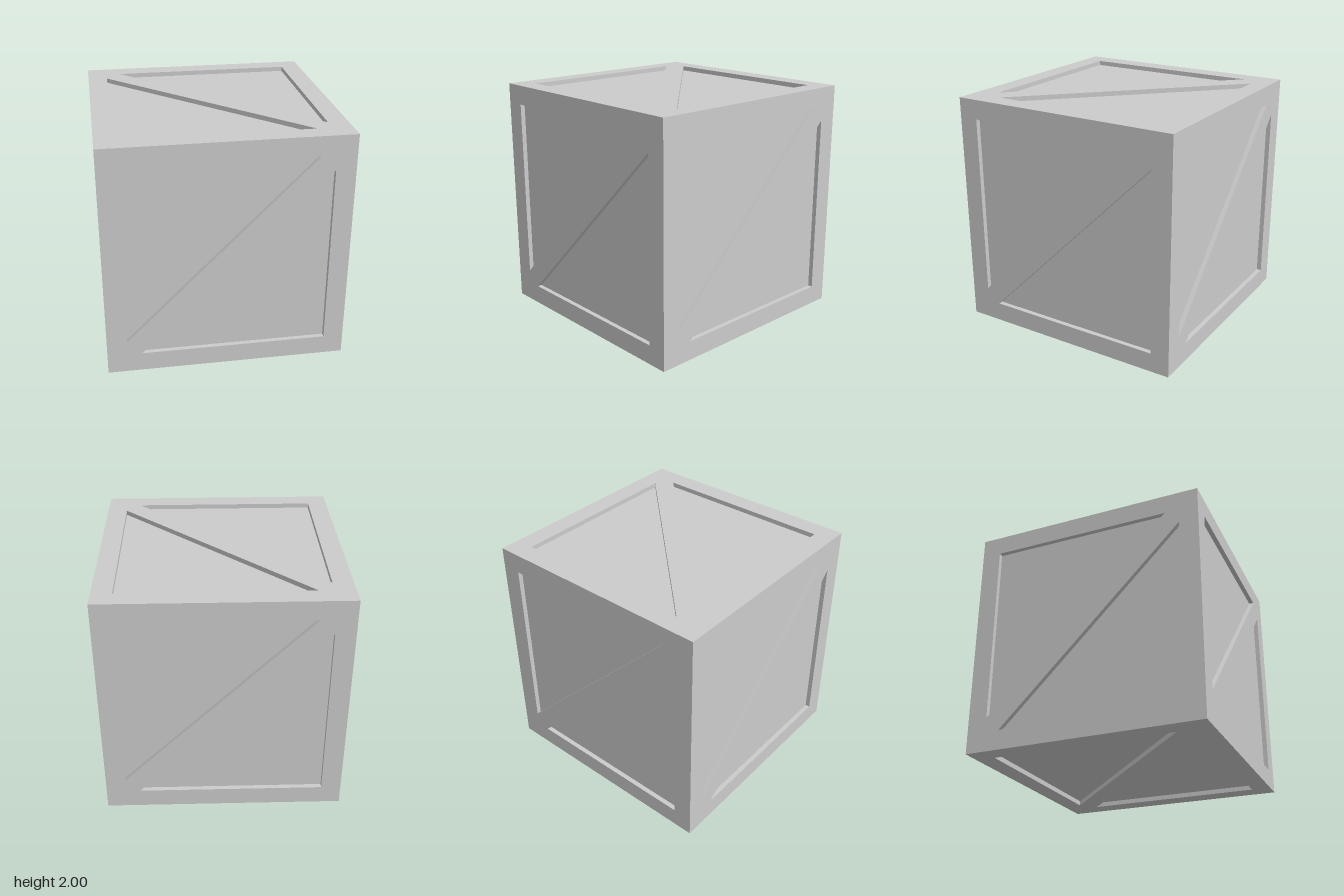
import * as THREE from 'three';

const HALF = 1, EDGE = 0.835, TIP = 0.715, DEPTH = 0.04;
const material = new THREE.MeshStandardMaterial({ color: 0xcccccc, flatShading: true });

// The two triangular recesses beside the diagonal brace, counter-clockwise
const upper = [[-EDGE, EDGE], [-EDGE, -TIP], [TIP, EDGE]].map(([x, y]) => new THREE.Vector2(x, y));
const lower = upper.map((p) => p.clone().negate());
const recesses = [upper, lower];

// Side walls of a recess, facing inward
function wallGeometry(outline) {
  const positions = [];
  outline.forEach((a, i) => {
    const b = outline[(i + 1) % outline.length];
    const z0 = HALF, z1 = HALF - DEPTH;
    positions.push(a.x, a.y, z0, b.x, b.y, z0, b.x, b.y, z1);
    positions.push(a.x, a.y, z0, b.x, b.y, z1, a.x, a.y, z1);
  });
  const geometry = new THREE.BufferGeometry();
  geometry.setAttribute('position', new THREE.Float32BufferAttribute(positions, 3));
  geometry.computeVertexNormals();
  return geometry;
}

function addMesh(group, geometry, name) {
  const mesh = new THREE.Mesh(geometry, material);
  mesh.name = name;
  group.add(mesh);
}

// One side of the crate, facing +z: border with brace, recess walls and sunken panels
function createSide(name) {
  const side = new THREE.Group();
  side.name = name;
  const square = new THREE.Shape([[-1, -1], [1, -1], [1, 1], [-1, 1]]
    .map(([x, y]) => new THREE.Vector2(x * HALF, y * HALF)));
  square.holes = recesses.map((outline) => new THREE.Path(outline));
  addMesh(side, new THREE.ShapeGeometry(square).translate(0, 0, HALF), 'frameAndBrace');
  for (const outline of recesses) {
    addMesh(side, wallGeometry(outline), 'recessWalls');
    const panel = new THREE.ShapeGeometry(new THREE.Shape(outline));
    addMesh(side, panel.translate(0, 0, HALF - DEPTH), 'sunkenPanel');
  }
  return side;
}

export function createModel() {
  const crate = new THREE.Group();
  crate.name = 'crate';
  const q = Math.PI / 2;
  // Name, tilt about x, turn about the face's own axis, turn about y
  const sides = [
    ['frontSide', 0, 0, 0], ['leftSide', 0, 0, q], ['backSide', 0, 0, 2 * q], ['rightSide', 0, 0, -q],
    ['topSide', -q, q, 0], ['bottomSide', q, q, 0],
  ];
  for (const [name, tilt, spin, turn] of sides) {
    const side = createSide(name);
    side.rotation.set(tilt, turn, spin);
    side.position.y = HALF;
    crate.add(side);
  }
  return crate;
}
